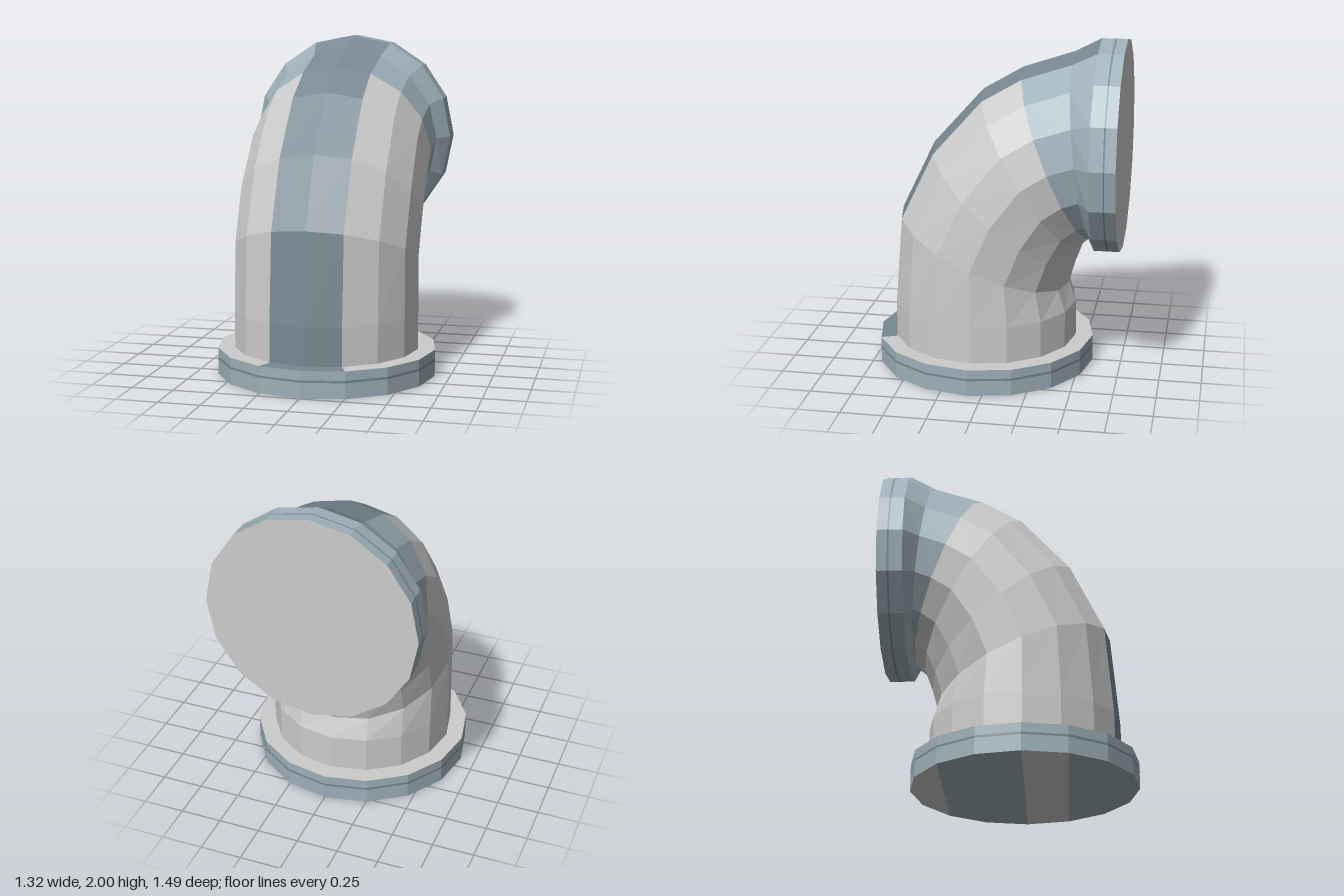
import * as THREE from 'three';

const SIDES = 16;

function material(name, color) {
  const m = new THREE.MeshStandardMaterial({ color });
  m.name = name;
  return m;
}

// A tilted circle given by its outer and inner points in the (z, y) plane
function ring(outerZ, outerY, innerZ, innerY) {
  const cz = (outerZ + innerZ) / 2, cy = (outerY + innerY) / 2;
  const dz = outerZ - cz, dy = outerY - cy, r = Math.hypot(dz, dy);
  return Array.from({ length: SIDES }, (_, j) => {
    const a = (j / SIDES) * Math.PI * 2;
    return [r * Math.sin(a), cy + dy * Math.cos(a), cz + dz * Math.cos(a)];
  });
}

const quad = (out, a, b, c, d) => out.push(...a, ...b, ...c, ...a, ...c, ...d);

function facetedMesh(name, points, mat) {
  const g = new THREE.BufferGeometry();
  g.setAttribute('position', new THREE.Float32BufferAttribute(points, 3));
  g.computeVertexNormals();
  const mesh = new THREE.Mesh(g, mat);
  mesh.name = name;
  return mesh;
}

// Skin between successive rings, keeping the facets accepted by the filter
function loft(name, rings, mat, keep = () => true) {
  const out = [];
  for (let i = 0; i + 1 < rings.length; i++) {
    for (let j = 0; j < SIDES; j++) {
      const k = (j + 1) % SIDES;
      if (keep(j)) quad(out, rings[i][j], rings[i][k], rings[i + 1][k], rings[i + 1][j]);
    }
  }
  return facetedMesh(name, out, mat);
}

// Strips across a ring, from strip index `from` up to `to`
function capStrips(name, r, strips, mat, flip) {
  const out = [];
  for (const j of strips) {
    const p = [r[(SIDES - j) % SIDES], r[j], r[j + 1], r[SIDES - j - 1]];
    if (flip) p.reverse();
    quad(out, ...p);
  }
  return facetedMesh(name, out, mat);
}

export function createModel() {
  const grey = material('light grey', 0xcccccc);
  const blue = material('pale blue grey', 0x9eb0b9);
  const dark = material('dark blue grey', 0x788892);
  const model = new THREE.Group();
  model.name = 'pipeElbow';

  const isStripe = (j) => j === 0 || j === SIDES - 1;
  const notStripe = (j) => !isStripe(j);

  // Bent pipe from the floor flange to the back flange
  const pipe = [
    ring(0.645, 0.16, -0.47, 0.16),
    ring(0.645, 0.385, -0.47, 0.38),
    ring(0.60, 0.93, -0.424, 0.50),
    ring(0.40, 1.345, -0.46, 0.63),
    ring(0.10, 1.68, -0.504, 0.75),
    ring(-0.14, 1.82, -0.565, 0.805),
    ring(-0.44, 1.92, -0.57, 0.81),
    ring(-0.595, 2.0, -0.595, 0.74),
  ];
  model.add(loft('pipeBody', pipe.slice(0, 6), grey, notStripe));
  model.add(loft('pipeCollar', pipe.slice(5), blue, notStripe));
  model.add(loft('frontStripe', pipe, dark, isStripe));

  // Floor flange
  const base = (y, r) => ring(0.085 + r, y, 0.085 - r, y);
  const floor = base(0, 0.66), rim = base(0.16, 0.66);
  model.add(loft('baseFlangeSide', [floor, rim], blue));
  model.add(loft('baseFlangeTop', [rim, pipe[0]], grey, notStripe));
  model.add(loft('baseFlangeTopStripe', [rim, pipe[0]], dark, isStripe));
  model.add(loft('baseSeam', [base(0.092, 0.661), base(0.106, 0.661)], dark));
  model.add(capStrips('baseCapBlue', floor, [0, 1, 2, 4, 5], blue, true));
  model.add(capStrips('baseCapGrey', floor, [3, 6, 7], grey, true));

  // Back flange
  const back = (z, r) => ring(z, 1.37 + r, z, 1.37 - r);
  const end = back(-0.745, 0.63);
  model.add(loft('backFlangeSide', [pipe[7], end], blue));
  model.add(loft('backSeam', [back(-0.673, 0.631), back(-0.683, 0.631)], dark));
  model.add(capStrips('backCap', end, [0, 1, 2, 3, 4, 5, 6, 7], grey, false));

  return model;
}
